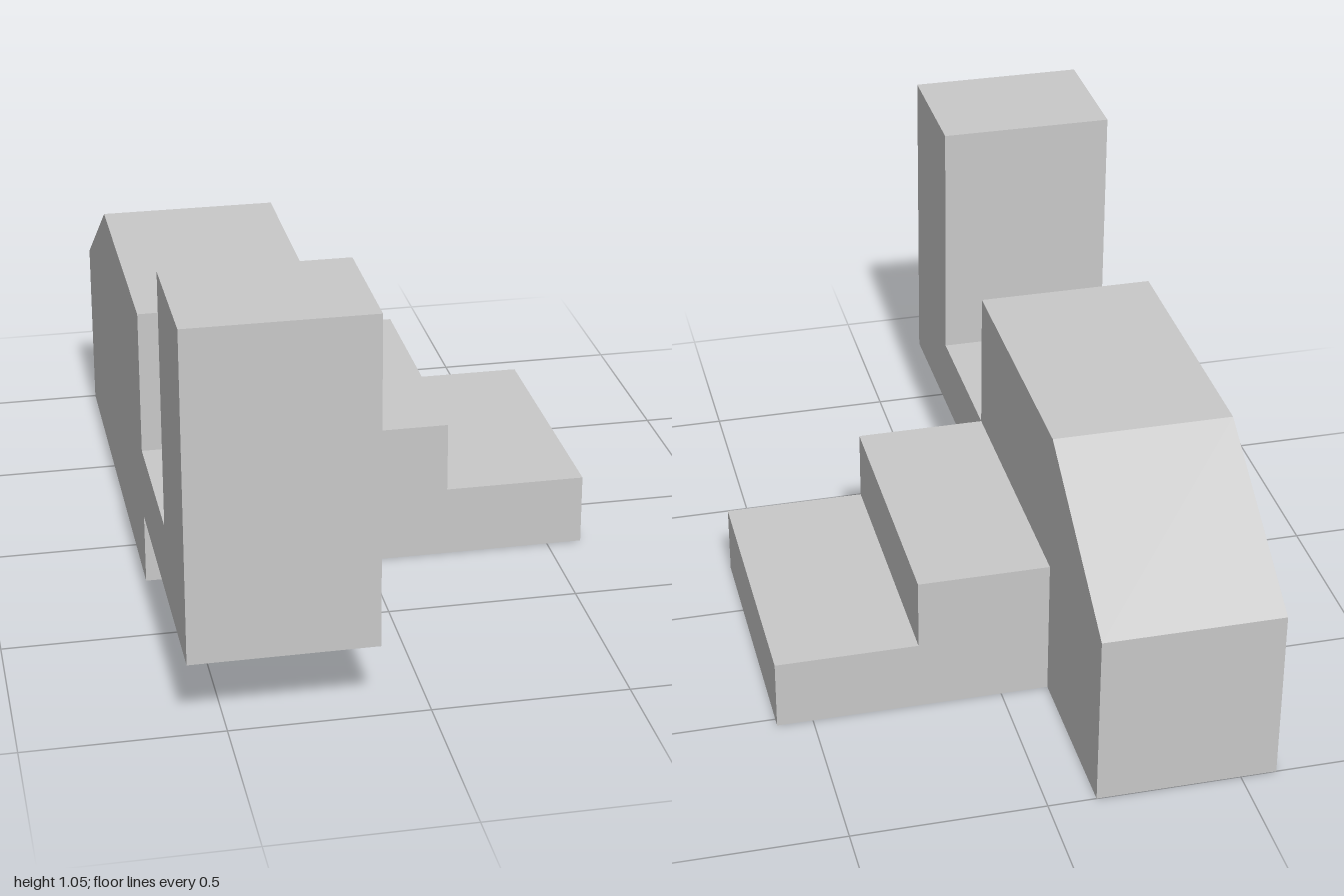
import * as THREE from 'three';

// Extrude a closed polygon outline without bevels
function prism(outline, depth) {
  const shape = new THREE.Shape(outline.map(([a, b]) => new THREE.Vector2(a, b)));
  return new THREE.ExtrudeGeometry(shape, { depth, bevelEnabled: false });
}

export function createModel() {
  const group = new THREE.Group();
  const grey = new THREE.MeshStandardMaterial({ color: 0xc8c8c8 });
  grey.name = 'plain grey';

  const side = 0.594, inner = -0.125;
  const front = 0.21, back = -0.527;

  const add = (name, geometry) => {
    const mesh = new THREE.Mesh(geometry, grey);
    mesh.name = name;
    group.add(mesh);
  };

  // Side profile as [z, y]: sloped block, forward arm and upright post in one piece
  const body = prism([
    [-1, 0], [front, 0], [front, 0.19], [1, 0.19], [1, 1.05], [0.645, 1.05],
    [0.645, 0.38], [front, 0.38], [front, 0.763], [back, 0.763], [-1, 0.473],
  ], inner + side);
  body.rotateY(-Math.PI / 2).translate(inner, 0, 0);
  add('slopedBodyWithPost', body);

  // Front profile as [x, y]: two steps beside the body
  const steps = prism([
    [inner, 0], [side, 0], [side, 0.19], [0.22, 0.19], [0.22, 0.38], [inner, 0.38],
  ], front - back);
  steps.translate(0, 0, back);
  add('sideSteps', steps);

  return group;
}
